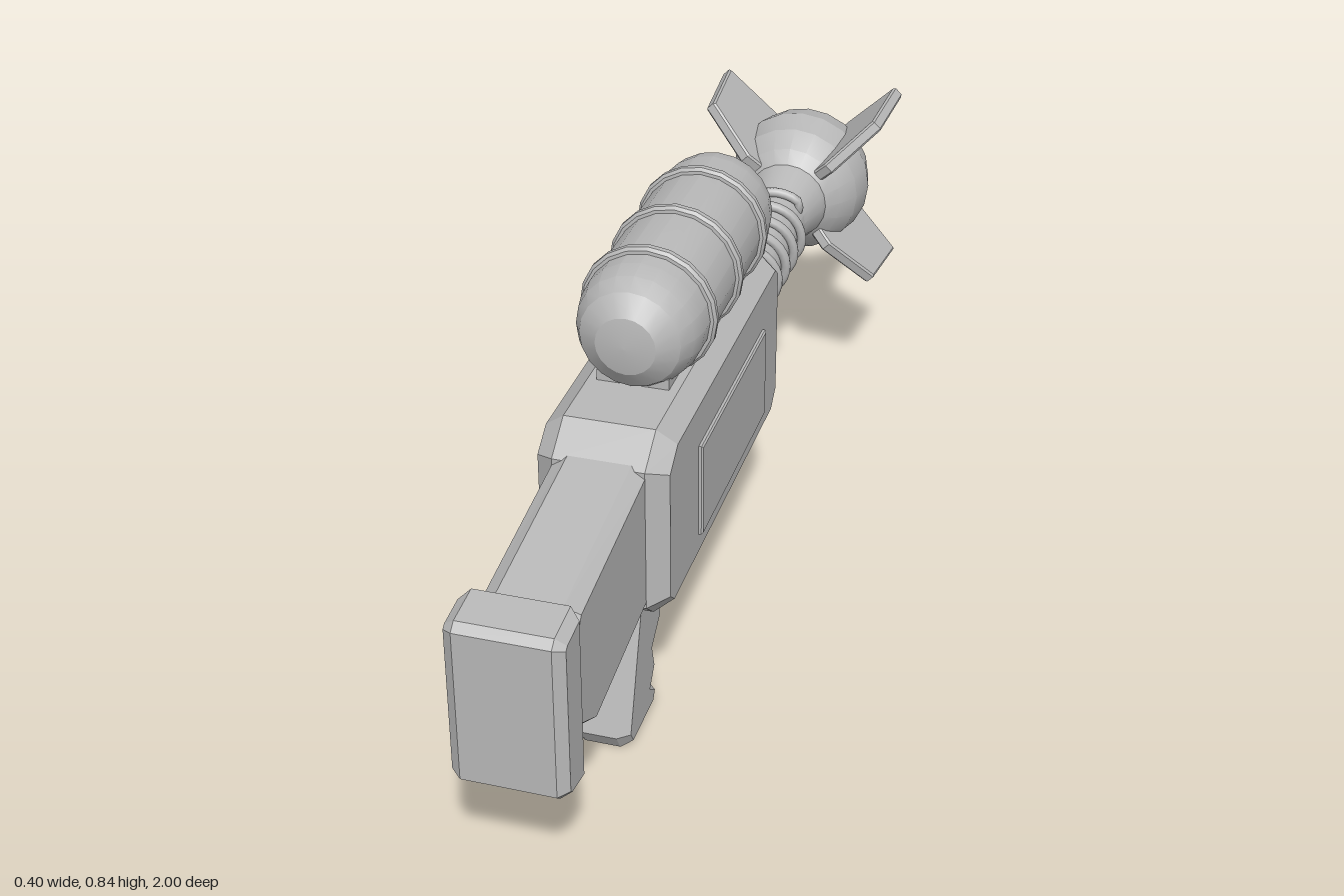
import * as THREE from 'three';
import { toCreasedNormals } from 'three/addons/utils/BufferGeometryUtils.js';

const AXIS_Y = 0.47; // height of the barrel axis
const TANK_Y = 0.72; // height of the tank axis

export function createModel() {
  const model = new THREE.Group();
  const grey = new THREE.MeshStandardMaterial({ color: 0xb8b8b8 });
  grey.name = 'plain grey';

  const add = (name, geometry, x = 0, y = 0, z = 0) => {
    const mesh = new THREE.Mesh(geometry, grey);
    mesh.name = name;
    mesh.position.set(x, y, z);
    model.add(mesh);
    return mesh;
  };

  // side outline of [z, y] points, extruded across x with chamfered edges
  const slab = (points, halfWidth, bevel, inset = bevel) => {
    const shape = new THREE.Shape(points.map(([z, y]) => new THREE.Vector2(z, y)));
    const depth = 2 * (halfWidth - bevel);
    return new THREE.ExtrudeGeometry(shape, {
      depth, bevelEnabled: true, bevelSegments: 1,
      bevelThickness: bevel, bevelSize: inset, bevelOffset: -inset,
    }).translate(0, 0, -depth / 2).rotateY(-Math.PI / 2);
  };

  // [radius, z] profile turned about the z axis, z ascending
  const turned = (points, sides) => toCreasedNormals(
    new THREE.LatheGeometry(points.map(([r, z]) => new THREE.Vector2(r, z)), sides).rotateX(Math.PI / 2), 0.36);

  // receiver with chamfered edges and a plate on the left side
  add('receiver', slab([
    [0.476, 0.625], [0.54, 0.578], [0.54, 0.305], [0.5, 0.27],
    [-0.18, 0.27], [-0.23, 0.315], [-0.23, 0.595], [-0.19, 0.625],
  ], 0.116, 0.035, 0.028));
  add('sidePlate', slab([[0.342, 0.335], [0.342, 0.518], [-0.09, 0.518], [-0.09, 0.335]], 0.01, 0.003), 0.114);

  // stock and butt pad
  add('stock', slab([
    [0.5, 0.588], [0.877, 0.54], [0.895, 0.515], [0.912, 0.32], [0.813, 0.262], [0.5, 0.305],
  ], 0.081, 0.025, 0.018));
  add('buttPad', slab([
    [0.91, 0.57], [0.985, 0.563], [1, 0.55], [1, 0.268], [0.985, 0.255], [0.91, 0.243],
  ], 0.098, 0.018, 0.014));

  // grip with finger grooves
  add('grip', slab([
    [0.49, 0.3], [0.32, 0.3], [0.325, 0.225], [0.37, 0.2], [0.362, 0.17], [0.413, 0.13],
    [0.4, 0.085], [0.424, 0.055], [0.396, 0.035], [0.415, 0], [0.55, 0], [0.572, 0.035],
  ], 0.055, 0.022, 0.014));

  // trigger and its guard
  add('trigger', slab([
    [0.25, 0.285], [0.21, 0.285], [0.232, 0.24], [0.224, 0.2], [0.24, 0.203], [0.254, 0.24],
  ], 0.014, 0.003));
  const guardPath = new THREE.CatmullRomCurve3(
    [[0.385, 0.19], [0.34, 0.172], [0.26, 0.155], [0.19, 0.168], [0.155, 0.21], [0.15, 0.29]]
      .map(([z, y]) => new THREE.Vector3(0, y, z)));
  add('triggerGuard', new THREE.TubeGeometry(guardPath, 18, 0.019, 8));

  // tank with bands on its mount
  add('tankMount', new THREE.BoxGeometry(0.13, 0.05, 0.56), 0, 0.62, 0.068);
  add('tank', turned([
    [0, -0.25], [0.054, -0.24], [0.09, -0.214], [0.106, -0.185], [0.113, -0.15],
    [0.113, 0.295], [0.106, 0.33], [0.09, 0.36], [0.054, 0.386], [0, 0.396],
  ], 20), 0, TANK_Y, 0);
  for (const z of [0.25, 0.086, -0.08]) {
    add('tankBand', turned([
      [0.108, -0.012], [0.119, -0.011], [0.124, -0.005], [0.124, 0.005], [0.119, 0.011], [0.108, 0.012],
    ], 20), 0, TANK_Y, z);
  }

  // barrel flaring into a truncated ball at the muzzle
  add('barrel', turned([
    [0.088, -0.74], [0.083, -0.715], [0.07, -0.67], [0.064, -0.64], [0.064, -0.2],
  ], 20), 0, AXIS_Y, 0);
  add('muzzleBall', turned([
    [0, -1], [0.064, -1], [0.106, -0.967], [0.138, -0.92], [0.152, -0.86],
    [0.14, -0.8], [0.113, -0.757], [0.083, -0.73], [0, -0.73],
  ], 20), 0, AXIS_Y, 0);

  // coil wound round the barrel, both ends sunk out of sight
  const turns = 6.25;
  const coilPoints = [];
  for (let i = 0; i <= turns * 16; i++) {
    const t = i / (turns * 16);
    const angle = 2 * Math.PI * turns * (1 - t);
    const r = t > 0.985 ? 0.05 : 0.073;
    coilPoints.push(new THREE.Vector3(r * Math.cos(angle), r * Math.sin(angle), -0.23 - 0.41 * t));
  }
  add('coil', new THREE.TubeGeometry(new THREE.CatmullRomCurve3(coilPoints), 200, 0.01, 8), 0, AXIS_Y, 0);

  // four diagonal fins
  const fin = slab([
    [-0.75, 0.06], [-0.727, 0.13], [-0.775, 0.258], [-0.942, 0.273], [-0.965, 0.125], [-0.94, 0.06],
  ], 0.013, 0.004);
  for (let i = 0; i < 4; i++) {
    add('fin', fin, 0, AXIS_Y, 0).rotation.z = Math.PI / 4 + i * Math.PI / 2;
  }
  return model;
}
